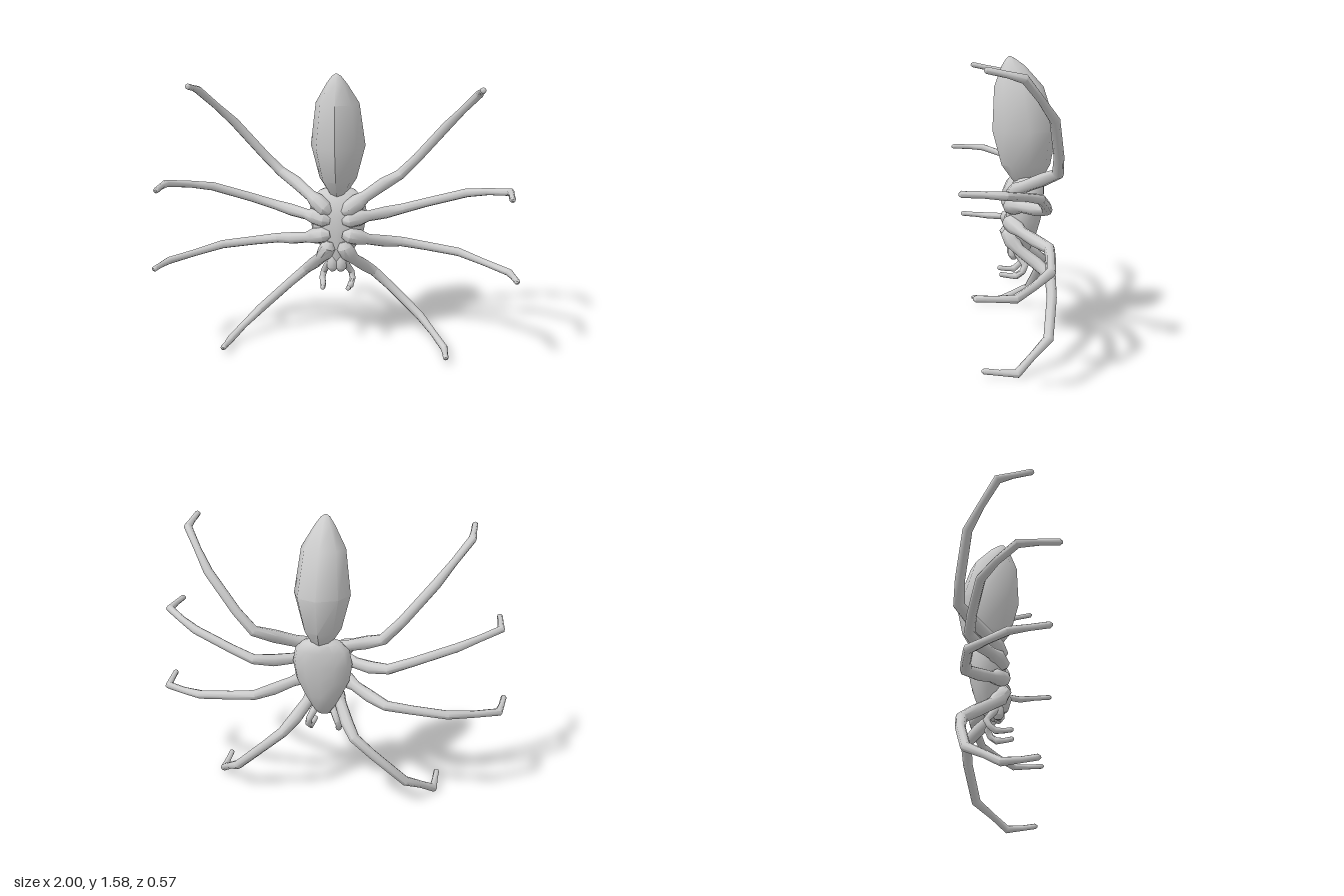
import * as THREE from 'three';
import { toCreasedNormals } from 'three/addons/utils/BufferGeometryUtils.js';

const V = (x, y, z) => new THREE.Vector3(x, y, z);

// Skin a list of rings (arrays of points, counter-clockwise about the path) and close both ends.
function skin(rings) {
  const pos = [];
  const tri = (a, b, c) => [a, b, c].forEach(p => pos.push(p.x, p.y, p.z));
  const n = rings[0].length;
  for (let i = 0; i < rings.length - 1; i++) {
    for (let j = 0; j < n; j++) {
      const k = (j + 1) % n, A = rings[i], B = rings[i + 1];
      tri(A[j], A[k], B[k]);
      tri(A[j], B[k], B[j]);
    }
  }
  const centre = r => r.reduce((s, p) => s.add(p), V(0, 0, 0)).divideScalar(n);
  const first = rings[0], last = rings[rings.length - 1];
  const c0 = centre(first), c1 = centre(last);
  for (let j = 0; j < n; j++) {
    const k = (j + 1) % n;
    tri(c0, first[k], first[j]);
    tri(c1, last[j], last[k]);
  }
  const g = new THREE.BufferGeometry();
  g.setAttribute('position', new THREE.Float32BufferAttribute(pos, 3));
  return toCreasedNormals(g, 0.9);
}

// Upright body from sections [y, halfWidth, zFront, zBack, zWidest].
function bodyGeometry(sections, sides) {
  return skin(sections.map(([y, w, zf, zb, zw]) =>
    Array.from({ length: sides }, (_, i) => {
      const a = (i / sides) * Math.PI * 2, c = Math.cos(a);
      return V(w * Math.sin(a), y, zw + c * (c > 0 ? zf - zw : zw - zb));
    })));
}

// Jointed limb along points [x, y, z, radius], with mitred bends.
function limbGeometry(points, mirror, sides = 8) {
  const P = points.map(p => V(p[0] * mirror, p[1], p[2]));
  const end = P[P.length - 1];
  const side = V(P[0].y - end.y, end.x - P[0].x, 0).normalize();
  return skin(P.map((p, i) => {
    const d0 = p.clone().sub(P[Math.max(i - 1, 0)]).normalize();
    const d1 = P[Math.min(i + 1, P.length - 1)].clone().sub(p).normalize();
    const t = d0.clone().add(d1).normalize();
    const inner = i > 0 && i < P.length - 1;
    const mitre = inner ? Math.min(1 / Math.max(t.dot(d0), 0.1), 1.35) : 1;
    const u = side.clone().addScaledVector(t, -side.dot(t)).normalize();
    const v = t.clone().cross(u);
    const r = points[i][3];
    return Array.from({ length: sides }, (_, j) => {
      const a = (j / sides) * Math.PI * 2;
      return p.clone().addScaledVector(u, r * Math.cos(a)).addScaledVector(v, r * mitre * Math.sin(a));
    });
  }));
}

export function createModel() {
  const group = new THREE.Group();
  const grey = new THREE.MeshStandardMaterial({ color: 0xcccccc });
  grey.name = 'grey';
  const add = (name, geometry) => {
    const m = new THREE.Mesh(geometry, grey);
    m.name = name;
    group.add(m);
  };

  // Long abdomen with a keel along the belly
  add('abdomen', bodyGeometry([
    [0.87, 0.03, -0.07, -0.17, -0.12],
    [0.92, 0.06, -0.03, -0.21, -0.12],
    [0.99, 0.105, 0.02, -0.25, -0.12],
    [1.18, 0.153, 0.07, -0.288, -0.12],
    [1.42, 0.12, 0.06, -0.21, -0.085],
    [1.53, 0.055, 0.02, -0.11, -0.045],
    [1.57, 0.025, -0.005, -0.055, -0.03],
    [1.582, 0.006, -0.018, -0.03, -0.024],
  ], 8));

  // Head and thorax with a broad domed shield on the back
  add('thorax', bodyGeometry([
    [0.475, 0.035, -0.04, -0.1, -0.07],
    [0.52, 0.062, -0.025, -0.145, -0.085],
    [0.6, 0.105, -0.01, -0.175, -0.1],
    [0.69, 0.148, -0.005, -0.2, -0.11],
    [0.79, 0.165, -0.005, -0.215, -0.115],
    [0.87, 0.15, -0.03, -0.217, -0.12],
    [0.915, 0.105, -0.06, -0.21, -0.13],
    [0.935, 0.05, -0.09, -0.19, -0.14],
  ], 12));

  // Legs from rear to front: rounded hip, neck, thigh, knee, shin, ankle, foot
  const limbs = {
    rearLeg: [
      [0.035, 0.81, -0.035, 0.022], [0.065, 0.83, -0.035, 0.046], [0.115, 0.867, -0.06, 0.048],
      [0.155, 0.893, -0.09, 0.033], [0.25, 0.945, -0.18, 0.036], [0.345, 0.99, -0.245, 0.03],
      [0.44, 1.09, -0.235, 0.027], [0.6, 1.285, -0.19, 0.026], [0.68, 1.385, -0.115, 0.02],
      [0.76, 1.485, -0.03, 0.022], [0.763, 1.505, 0.05, 0.016], [0.765, 1.525, 0.145, 0.016], [0.765, 1.527, 0.156, 0.006]],
    rearMiddleLeg: [
      [0.035, 0.765, -0.025, 0.022], [0.07, 0.77, -0.025, 0.044], [0.125, 0.782, -0.045, 0.046],
      [0.175, 0.785, -0.075, 0.031], [0.27, 0.79, -0.14, 0.035], [0.37, 0.805, -0.185, 0.029],
      [0.5, 0.85, -0.165, 0.026], [0.72, 0.925, -0.11, 0.025], [0.83, 0.955, -0.03, 0.02],
      [0.938, 0.98, 0.07, 0.021], [0.935, 0.987, 0.17, 0.016], [0.93, 0.99, 0.268, 0.016], [0.93, 0.99, 0.28, 0.006]],
    frontMiddleLeg: [
      [0.035, 0.69, -0.02, 0.022], [0.07, 0.682, -0.02, 0.044], [0.125, 0.667, -0.045, 0.046],
      [0.175, 0.648, -0.075, 0.031], [0.27, 0.62, -0.14, 0.035], [0.365, 0.6, -0.2, 0.029],
      [0.5, 0.583, -0.19, 0.026], [0.69, 0.56, -0.165, 0.025], [0.83, 0.535, -0.07, 0.02],
      [0.96, 0.515, 0.03, 0.021], [0.975, 0.521, 0.12, 0.016], [0.985, 0.528, 0.21, 0.016], [0.985, 0.529, 0.222, 0.006]],
    frontLeg: [
      [0.038, 0.645, -0.02, 0.022], [0.045, 0.615, -0.018, 0.045], [0.068, 0.57, -0.035, 0.046],
      [0.095, 0.53, -0.07, 0.033], [0.145, 0.465, -0.16, 0.036], [0.2, 0.405, -0.23, 0.03],
      [0.3, 0.315, -0.225, 0.027], [0.48, 0.15, -0.185, 0.026], [0.56, 0.085, -0.09, 0.02],
      [0.625, 0.026, -0.01, 0.022], [0.628, 0.034, 0.08, 0.016], [0.63, 0.045, 0.155, 0.016], [0.63, 0.046, 0.168, 0.006]],
    // Short feelers beside the mouth
    feeler: [
      [0.04, 0.52, -0.05, 0.02], [0.06, 0.48, -0.08, 0.021], [0.08, 0.44, -0.105, 0.018],
      [0.088, 0.405, -0.09, 0.017], [0.08, 0.378, -0.055, 0.018], [0.075, 0.38, -0.01, 0.014],
      [0.072, 0.387, 0.03, 0.014], [0.072, 0.388, 0.038, 0.006]],
    // Jaws
    jaw: [
      [0.022, 0.555, -0.045, 0.02], [0.024, 0.525, -0.045, 0.032],
      [0.024, 0.485, -0.045, 0.032], [0.02, 0.463, -0.045, 0.015]],
  };
  for (const [name, points] of Object.entries(limbs)) {
    const part = name[0].toUpperCase() + name.slice(1);
    add('left' + part, limbGeometry(points, 1));
    add('right' + part, limbGeometry(points, -1));
  }
  return group;
}
